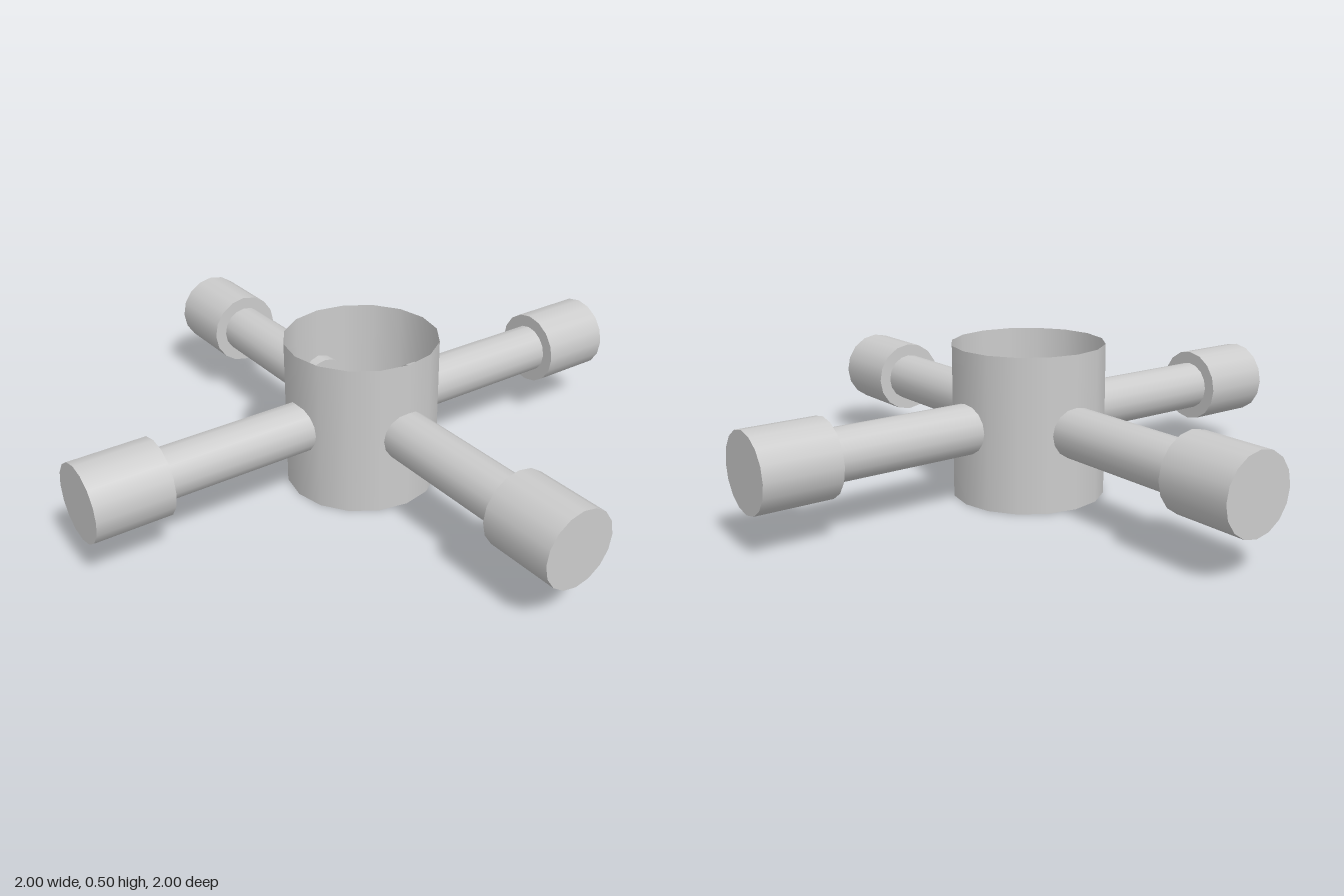
import * as THREE from 'three';

const SIDES = 16;
const HUB_RADIUS = 0.253, HUB_HEIGHT = 0.505;
const ARM_Y = HUB_HEIGHT / 2;

export function createModel() {
  const model = new THREE.Group();
  const grey = new THREE.MeshStandardMaterial({ color: 0xcccccc });
  const thin = new THREE.MeshStandardMaterial({ color: 0xcccccc, side: THREE.DoubleSide });

  const add = (parent, name, geometry, material) => {
    const mesh = new THREE.Mesh(geometry, material);
    mesh.name = name;
    parent.add(mesh);
    return mesh;
  };

  // Cup-shaped hub: thin wall, open top, closed floor
  const hub = new THREE.Group();
  hub.name = 'hub';
  model.add(hub);
  add(hub, 'hubWall', new THREE.CylinderGeometry(HUB_RADIUS, HUB_RADIUS, HUB_HEIGHT, SIDES, 1, true), thin)
    .position.y = HUB_HEIGHT / 2;
  // Floor corners line up with the wall corners
  add(hub, 'hubFloor', new THREE.CircleGeometry(HUB_RADIUS, SIDES).rotateX(Math.PI / 2), thin);

  // Solid rod lying along +x between two distances from the centre
  const rod = (radius, from, to) =>
    new THREE.CylinderGeometry(radius, radius, to - from, SIDES)
      .rotateZ(-Math.PI / 2)
      .translate((from + to) / 2, 0, 0);
  const shaft = rod(0.083, 0.21, 0.752);
  const endCap = rod(0.125, 0.75, 1);

  // Four arms; each shaft pokes slightly through the hub wall
  ['leftArm', 'backArm', 'rightArm', 'frontArm'].forEach((name, i) => {
    const arm = new THREE.Group();
    arm.name = name;
    arm.position.y = ARM_Y;
    arm.rotation.y = i * Math.PI / 2;
    add(arm, 'shaft', shaft, grey);
    add(arm, 'endCap', endCap, grey);
    model.add(arm);
  });

  return model;
}
